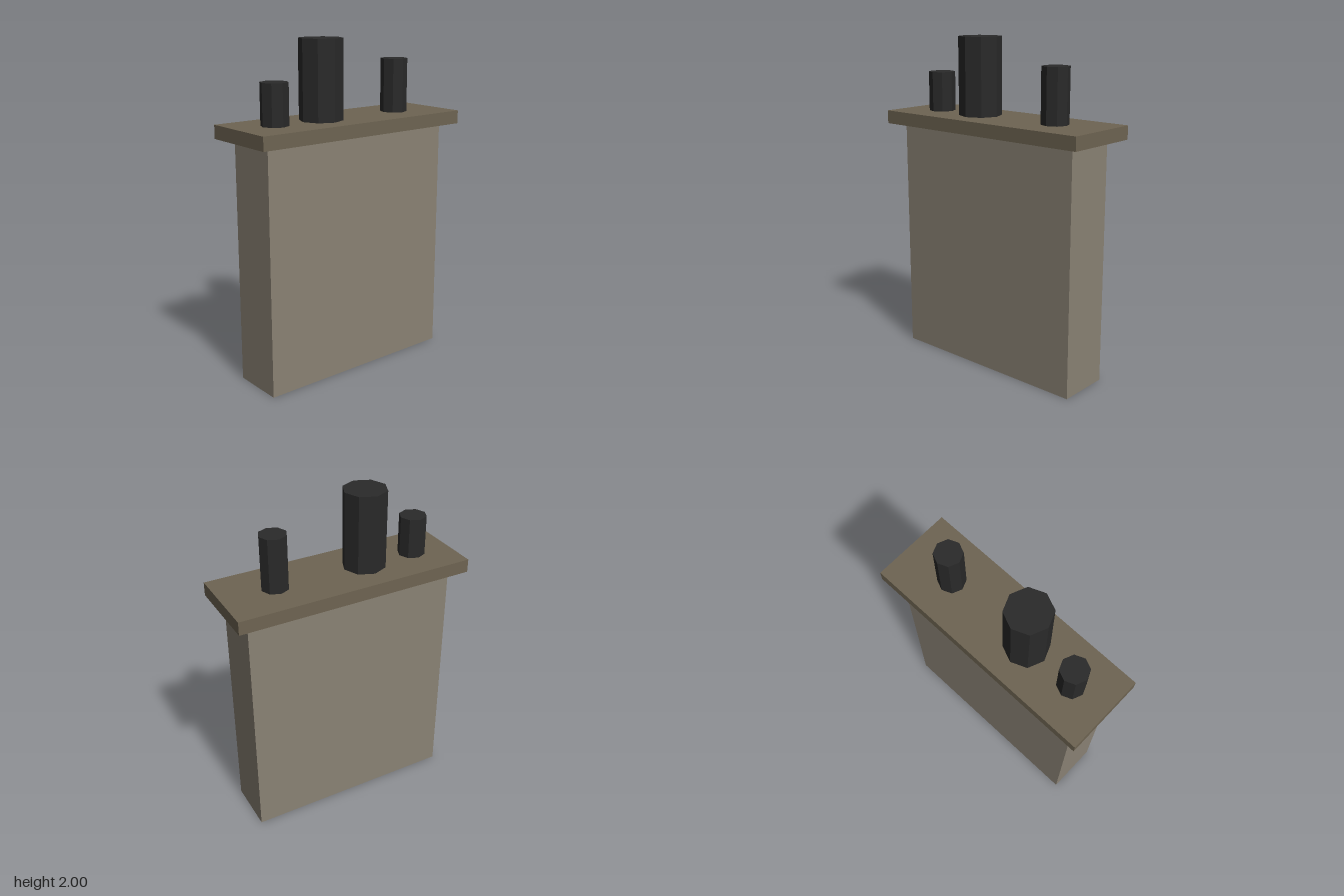
import * as THREE from 'three';

const material = (color) => new THREE.MeshStandardMaterial({ color, flatShading: true });

export function createModel() {
  const group = new THREE.Group();
  group.name = 'chimneyStack';

  const stone = material(0x8a8274);
  const capStone = material(0x6e6452);
  const iron = material(0x2a2a2a);

  const add = (name, geometry, mat, x, bottom, height) => {
    const mesh = new THREE.Mesh(geometry, mat);
    mesh.name = name;
    mesh.position.set(x, bottom + height / 2, 0);
    group.add(mesh);
  };

  // Masonry stack and its overhanging cap slab
  const stackHeight = 1.455;
  const capHeight = 0.08;
  add('stack', new THREE.BoxGeometry(1.29, stackHeight, 0.323), stone, 0, 0, stackHeight);
  add('capSlab', new THREE.BoxGeometry(1.45, capHeight, 0.484), capStone, 0, stackHeight, capHeight);

  // Eight-sided flue pipes standing on the slab
  const flues = [
    { name: 'shortFlue', x: -0.484, radius: 0.081, height: 0.24 },
    { name: 'mainFlue', x: -0.161, radius: 0.129, height: 0.465 },
    { name: 'mediumFlue', x: 0.403, radius: 0.081, height: 0.323 },
  ];
  for (const { name, x, radius, height } of flues) {
    add(name, new THREE.CylinderGeometry(radius, radius, height, 8), iron, x, stackHeight + capHeight, height);
  }

  return group;
}
